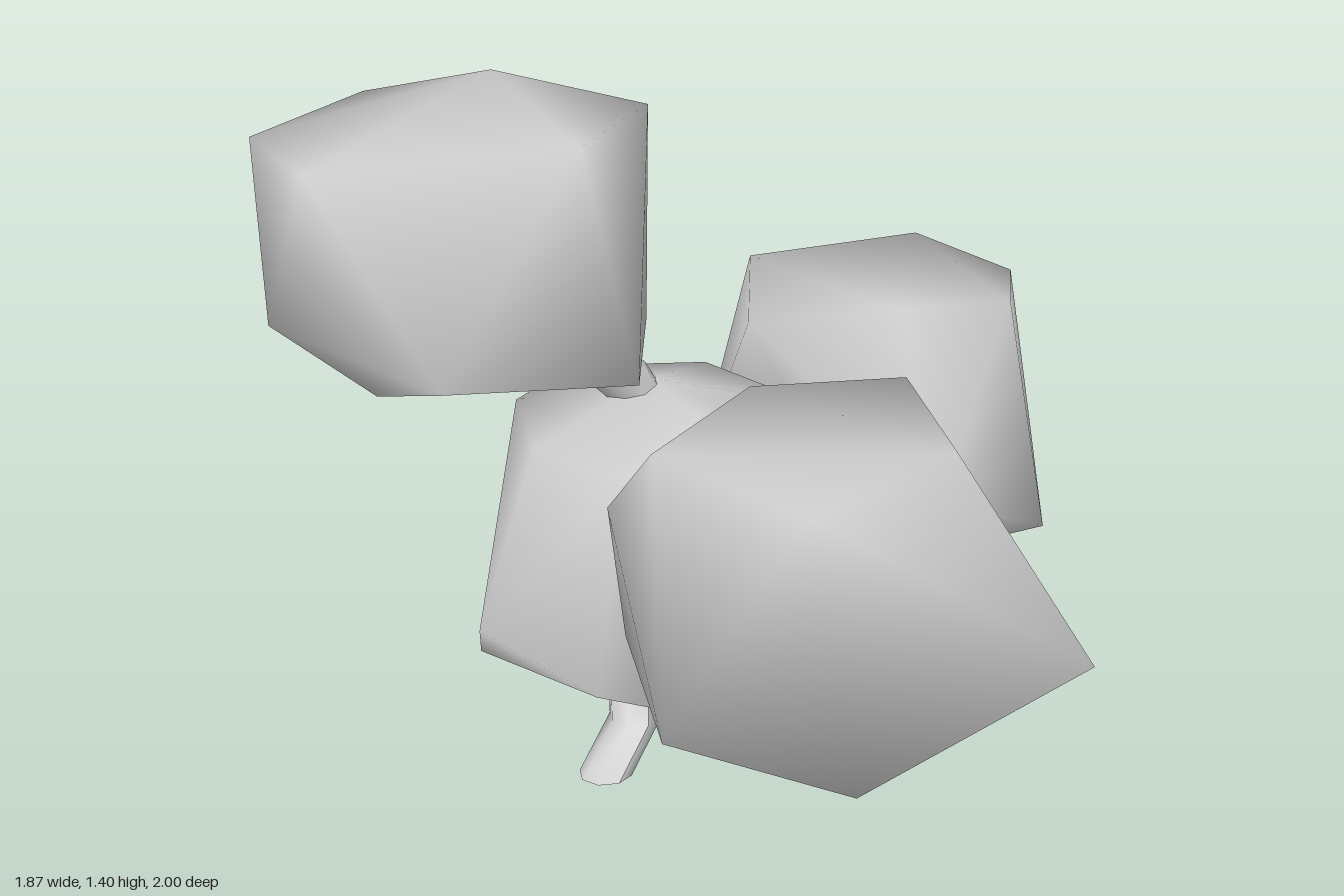
import * as THREE from 'three';
import { ConvexGeometry } from 'three/addons/geometries/ConvexGeometry.js';
import { mergeVertices } from 'three/addons/utils/BufferGeometryUtils.js';

const material = new THREE.MeshStandardMaterial({ color: 0xcccccc });
const vec = (p) => new THREE.Vector3(...p);

// Faceted foliage lump with smooth normals
function foliage(corners) {
  const hull = new ConvexGeometry(corners.map(vec));
  hull.deleteAttribute('normal');
  const geometry = mergeVertices(hull, 1e-4);
  geometry.computeVertexNormals();
  return geometry;
}

// Bent branch through a few points
function branch(points, radius) {
  const curve = new THREE.CatmullRomCurve3(points.map(vec));
  return new THREE.TubeGeometry(curve, 6, radius, 8);
}

// Root: a stack of level rings moved out and down from the hub to the foot
function root(hub, foot) {
  const rows = [[0, 0.25], [0.48, 0.15], [0.48, 0.07], [1, 0]];
  const geometry = new THREE.CylinderGeometry(0.056, 0.056, 3, 8, 3);
  const pos = geometry.attributes.position;
  for (let i = 0; i < pos.count; i++) {
    const [t, y] = rows[Math.round(1.5 - pos.getY(i))];
    pos.setXYZ(i,
      pos.getX(i) + THREE.MathUtils.lerp(hub[0], foot[0], t), y,
      pos.getZ(i) + THREE.MathUtils.lerp(hub[1], foot[1], t));
  }
  geometry.computeVertexNormals();
  return geometry;
}

export function createModel() {
  const model = new THREE.Group();
  const add = (name, geometry) => {
    const mesh = new THREE.Mesh(geometry, material);
    mesh.name = name;
    model.add(mesh);
  };

  // Foliage: upper corners first, then lower ones
  add('centreFoliage', foliage([
    [0.07, 0.73, -0.1], [-0.02, 0.72, 0.11], [-0.2, 0.73, 0.11], [-0.42, 0.7, -0.02],
    [0.05, 0.7, -0.5], [-0.24, 0.73, -0.57], [-0.2, 0.78, -0.3], [-0.5, 0.71, -0.25],
    [-0.42, 0.72, -0.48], [0.31, 0.41, -0.16], [0.16, 0.25, -0.5], [-0.24, 0.28, -0.64],
    [-0.64, 0.34, -0.25], [-0.59, 0.24, -0.35], [-0.5, 0.25, -0.02], [-0.38, 0.24, 0.12],
    [0, 0.21, 0.1], [-0.2, 0.2, -0.25],
  ]));
  add('topFoliage', foliage([
    [-0.92, 1.34, -0.58], [-0.94, 1.34, -0.29], [-0.61, 1.35, -0.73], [-0.4, 1.4, -0.57],
    [-0.21, 1.37, -0.27], [-0.48, 1.38, -0.05], [-0.27, 1.07, -0.71], [-0.59, 0.88, -0.8],
    [-0.91, 0.95, -0.58], [-0.79, 0.95, -0.05], [-0.81, 0.87, -0.3], [-0.38, 0.89, -0.03],
    [-0.23, 0.93, -0.26], [-0.52, 0.83, -0.32],
  ]));
  add('frontFoliage', foliage([
    [-0.63, 0.97, 0.45], [-0.54, 0.96, 0.82], [-0.2, 0.99, 0.77], [0.02, 0.93, 0.3],
    [-0.27, 0.94, 0.2], [-0.6, 0.78, 0.23], [-0.46, 0.6, 0.18], [-0.7, 0.48, 0.59],
    [-0.48, 0.44, 0.88], [-0.06, 0.63, 1], [0.11, 0.47, 0.67], [0, 0.5, 0.27],
    [-0.58, 0.52, 0.25], [-0.25, 0.41, 0.5],
  ]));
  add('sideFoliage', foliage([
    [0.16, 0.77, -0.5], [0.44, 0.8, -0.32], [0.37, 0.79, -0.83],
    [0.82, 0.77, -0.81], [0.9, 0.74, -0.54], [0.72, 0.77, -0.3], [0.55, 0.38, -1],
    [0.93, 0.36, -0.54], [0.73, 0.27, -0.17], [0.37, 0.45, -0.06], [0.31, 0.28, -0.18],
    [0.57, 0.23, -0.58], [0.16, 0.25, -0.52], [0.2, 0.3, -0.81], [0.7, 0.27, -0.9],
  ]));

  // Branches joining the centre to the other three lumps
  add('topBranch', branch([[-0.2, 0.68, -0.3], [-0.24, 0.77, -0.31], [-0.32, 0.86, -0.32], [-0.35, 0.97, -0.32]], 0.053));
  add('frontBranch', branch([[-0.17, 0.37, 0.02], [-0.18, 0.41, 0.14], [-0.2, 0.49, 0.21], [-0.22, 0.62, 0.28]], 0.055));
  add('sideBranch', branch([[0.12, 0.4, -0.26], [0.21, 0.48, -0.28], [0.35, 0.53, -0.38]], 0.05));

  // Three splayed roots
  const hub = [-0.2, -0.28];
  const feet = { rightRoot: [-0.42, -0.14], leftRoot: [0, -0.16], backRoot: [-0.09, -0.47] };
  for (const [name, foot] of Object.entries(feet)) add(name, root(hub, foot));

  return model;
}
